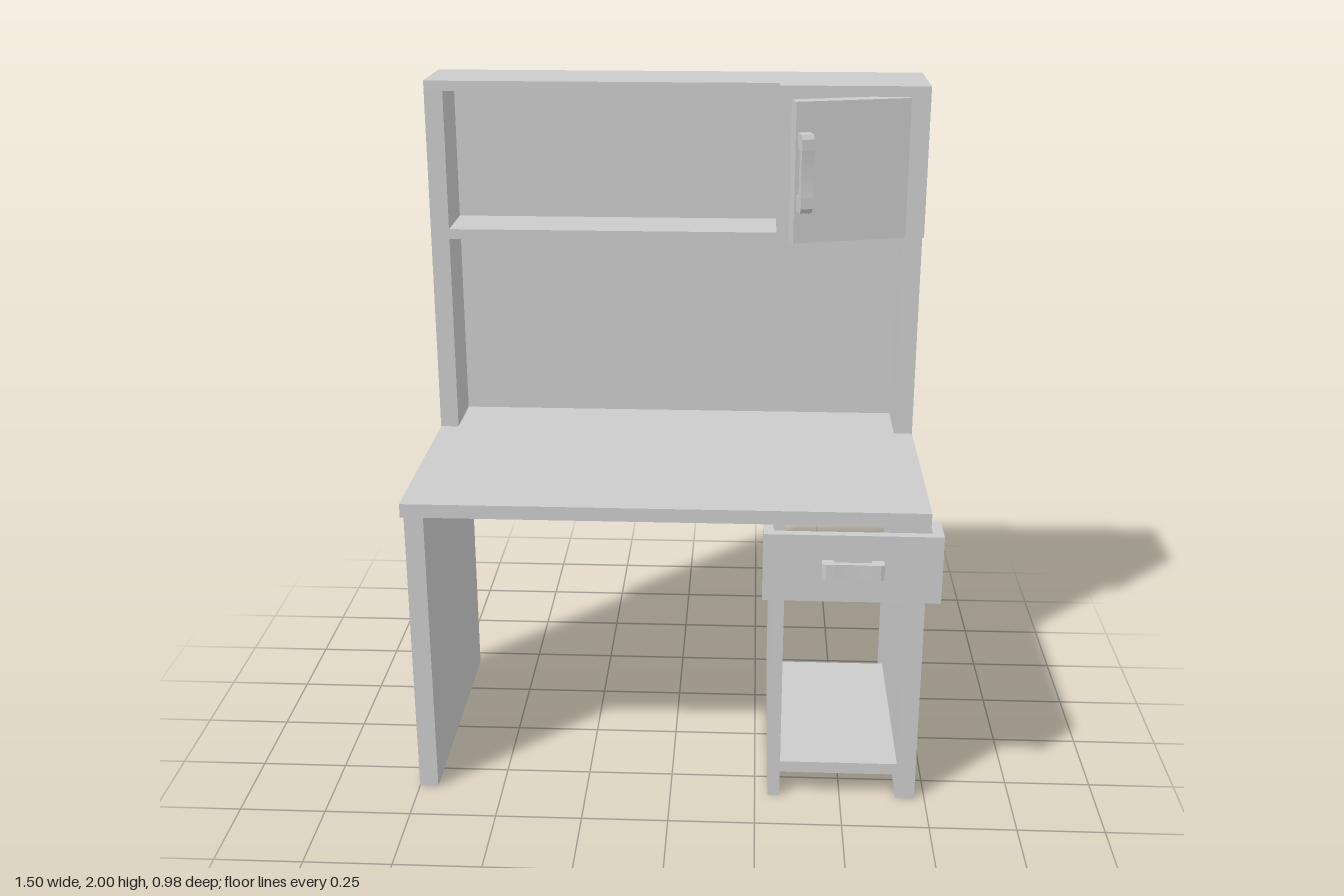
import * as THREE from 'three';

const grey = new THREE.MeshStandardMaterial({ color: 0xcccccc, flatShading: true });

// Box given by its minimum and maximum on each axis
function box(parent, name, [x0, x1], [y0, y1], [z0, z1]) {
  const mesh = new THREE.Mesh(new THREE.BoxGeometry(x1 - x0, y1 - y0, z1 - z0), grey);
  mesh.position.set((x0 + x1) / 2, (y0 + y1) / 2, (z0 + z1) / 2);
  mesh.name = name;
  parent.add(mesh);
  return mesh;
}

// Bracket handle: lies along x, stands out along +z, centred on its base
function handle(name, length, depth, width, post) {
  const h = length / 2, bar = depth * 0.55;
  const s = new THREE.Shape();
  s.moveTo(-h, 0);
  s.lineTo(-h, depth * 0.85);
  s.lineTo(-h + post * 0.3, depth);
  s.lineTo(-h + post, depth);
  s.quadraticCurveTo(0, depth * 0.86, h - post, depth);
  s.lineTo(h - post * 0.3, depth);
  s.lineTo(h, depth * 0.85);
  s.lineTo(h, 0);
  s.lineTo(h - post, 0);
  s.lineTo(h - post, depth - bar);
  s.lineTo(-h + post, depth - bar);
  s.lineTo(-h + post, 0);
  s.closePath();
  const geo = new THREE.ExtrudeGeometry(s, { depth: width, bevelEnabled: false, curveSegments: 8 });
  geo.translate(0, 0, -width / 2);
  geo.rotateX(Math.PI / 2);
  const mesh = new THREE.Mesh(geo, grey);
  mesh.name = name;
  return mesh;
}

export function createModel() {
  const desk = new THREE.Group();
  desk.name = 'deskWithHutch';

  const leftPanel = [-0.75, -0.695], rightPanel = [0.665, 0.72], innerPanel = [0.288, 0.323];
  const legZ = [-0.435, 0.35], hutchZ = [-0.435, -0.245], cabinetZ = [-0.435, -0.195];

  // Table
  box(desk, 'desktop', [-0.75, 0.72], [0.89, 0.93], [-0.435, 0.395]);
  for (const [name, x] of [['outerLegPanel', leftPanel], ['innerLegPanel', innerPanel], ['drawerSideLegPanel', rightPanel]])
    box(desk, name, x, [0, 0.89], legZ);
  box(desk, 'footShelf', [0.323, 0.665], [0.08, 0.115], [-0.27, 0.35]);

  // Hutch
  const hutch = new THREE.Group();
  hutch.name = 'hutch';
  desk.add(hutch);
  box(hutch, 'backPanel', [-0.75, 0.72], [0.89, 2], [-0.49, -0.435]);
  box(hutch, 'hutchSide', leftPanel, [0.93, 1.97], hutchZ);
  box(hutch, 'hutchSide', rightPanel, [0.93, 1.56], hutchZ);
  box(hutch, 'hutchTop', [-0.75, 0.288], [1.97, 2], hutchZ);
  box(hutch, 'hutchShelf', [-0.695, 0.665], [1.53, 1.56], hutchZ);

  // Cabinet, standing slightly proud of the hutch
  box(hutch, 'cabinetSide', rightPanel, [1.56, 1.97], cabinetZ);
  box(hutch, 'cabinetDivider', innerPanel, [1.56, 1.97], cabinetZ);
  box(hutch, 'cabinetTop', [0.288, 0.72], [1.97, 2], cabinetZ);

  // Door, hinged at its right edge and a little open
  const door = new THREE.Group();
  door.name = 'cabinetDoor';
  door.position.set(0.665, 0, -0.197);
  door.rotation.y = THREE.MathUtils.degToRad(15);
  box(door, 'doorPanel', [-0.342, 0], [1.56, 1.967], [-0.047, 0]);
  const doorHandle = handle('doorHandle', 0.225, 0.045, 0.035, 0.045);
  doorHandle.rotation.z = Math.PI / 2;
  doorHandle.position.set(-0.318, 1.768, 0);
  door.add(doorHandle);
  hutch.add(door);

  // Drawer front with cheeks wrapping the legs
  const drawer = new THREE.Group();
  drawer.name = 'drawer';
  desk.add(drawer);
  const drawerY = [0.69, 0.888];
  box(drawer, 'drawerFront', [0.26, 0.75], drawerY, [0.432, 0.458]);
  box(drawer, 'drawerCheek', [0.26, 0.288], drawerY, [0.348, 0.432]);
  box(drawer, 'drawerCheek', [0.72, 0.75], drawerY, [0.348, 0.432]);
  const drawerHandle = handle('drawerHandle', 0.17, 0.032, 0.045, 0.034);
  drawerHandle.position.set(0.505, 0.792, 0.458);
  drawer.add(drawerHandle);

  return desk;
}
